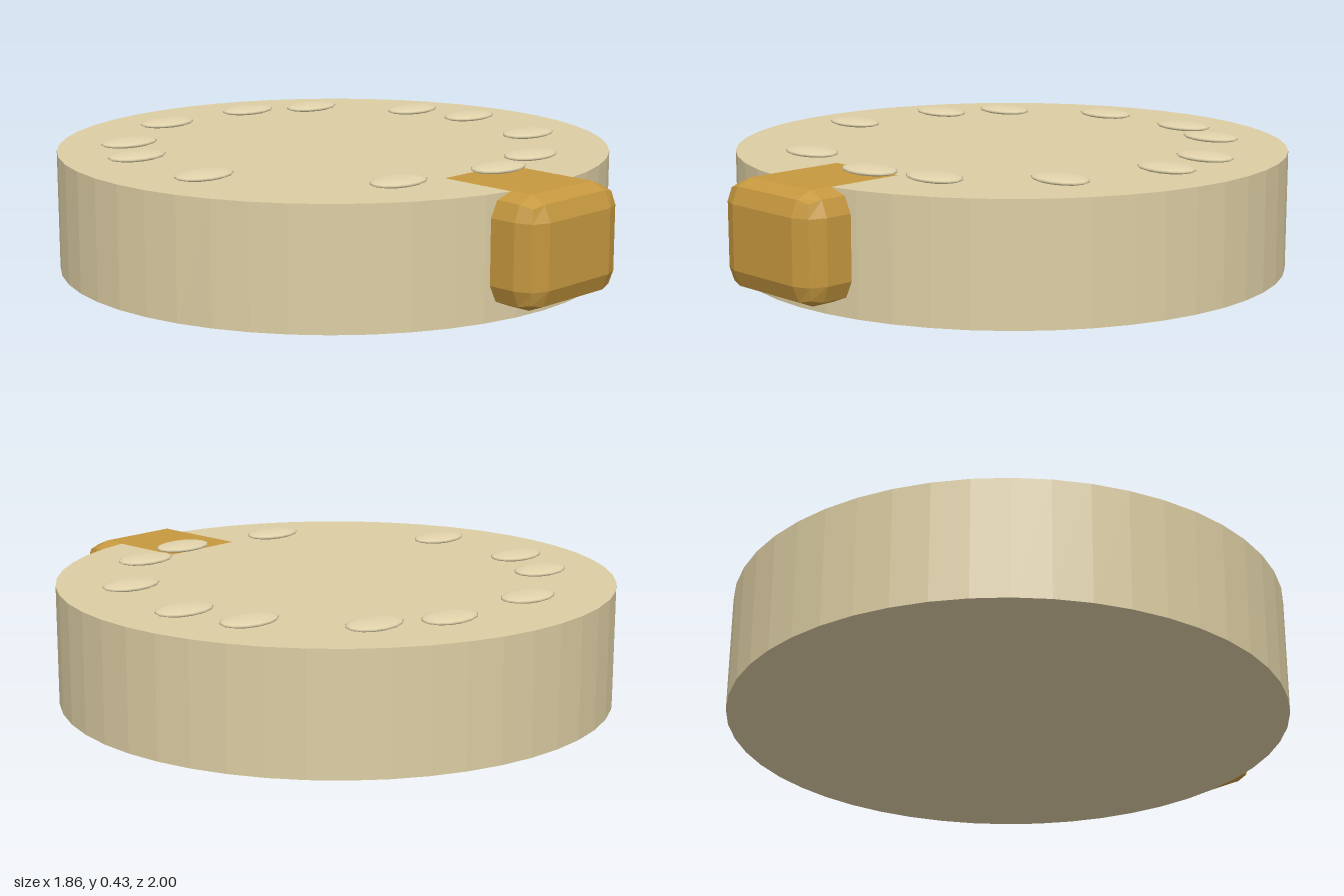
import * as THREE from 'three';
import { RoundedBoxGeometry } from 'three/addons/geometries/RoundedBoxGeometry.js';

const HEIGHT = 0.4;
const CENTRE_Z = -0.07;

export function createModel() {
  const group = new THREE.Group();
  const tan = new THREE.MeshStandardMaterial({ color: 0xdccda3, flatShading: true });
  const pale = new THREE.MeshStandardMaterial({ color: 0xe0d2aa });
  const amber = new THREE.MeshStandardMaterial({ color: 0xc6983f, flatShading: true });

  const add = (name, geometry, material, x, y, z) => {
    const mesh = new THREE.Mesh(geometry, material);
    mesh.name = name;
    mesh.position.set(x, y, z);
    group.add(mesh);
    return mesh;
  };

  // Thick round base
  add('disc', new THREE.CylinderGeometry(0.93, 0.93, HEIGHT, 48), tan, 0, HEIGHT / 2, CENTRE_Z);

  // Bevelled block set into the front rim, its top just level with the disc
  add('frontBlock', new RoundedBoxGeometry(0.44, 0.36, 0.495, 1, 0.075), amber, 0, 0.221, 0.7525);

  // Irregular ring of flattened pebbles, angles in degrees from the front
  const pebble = new THREE.SphereGeometry(1, 14, 10).scale(0.107, 0.014, 0.072);
  const angles = [5, 25, 57.5, 90, 110.5, 142.5, 163, 195, 227.5, 247.5, 280, 332.5];
  angles.forEach((degrees, i) => {
    const a = THREE.MathUtils.degToRad(degrees);
    add(`pebble${i + 1}`, pebble, pale, 0.69 * Math.sin(a), HEIGHT + 0.012, CENTRE_Z + 0.69 * Math.cos(a));
  });

  return group;
}
